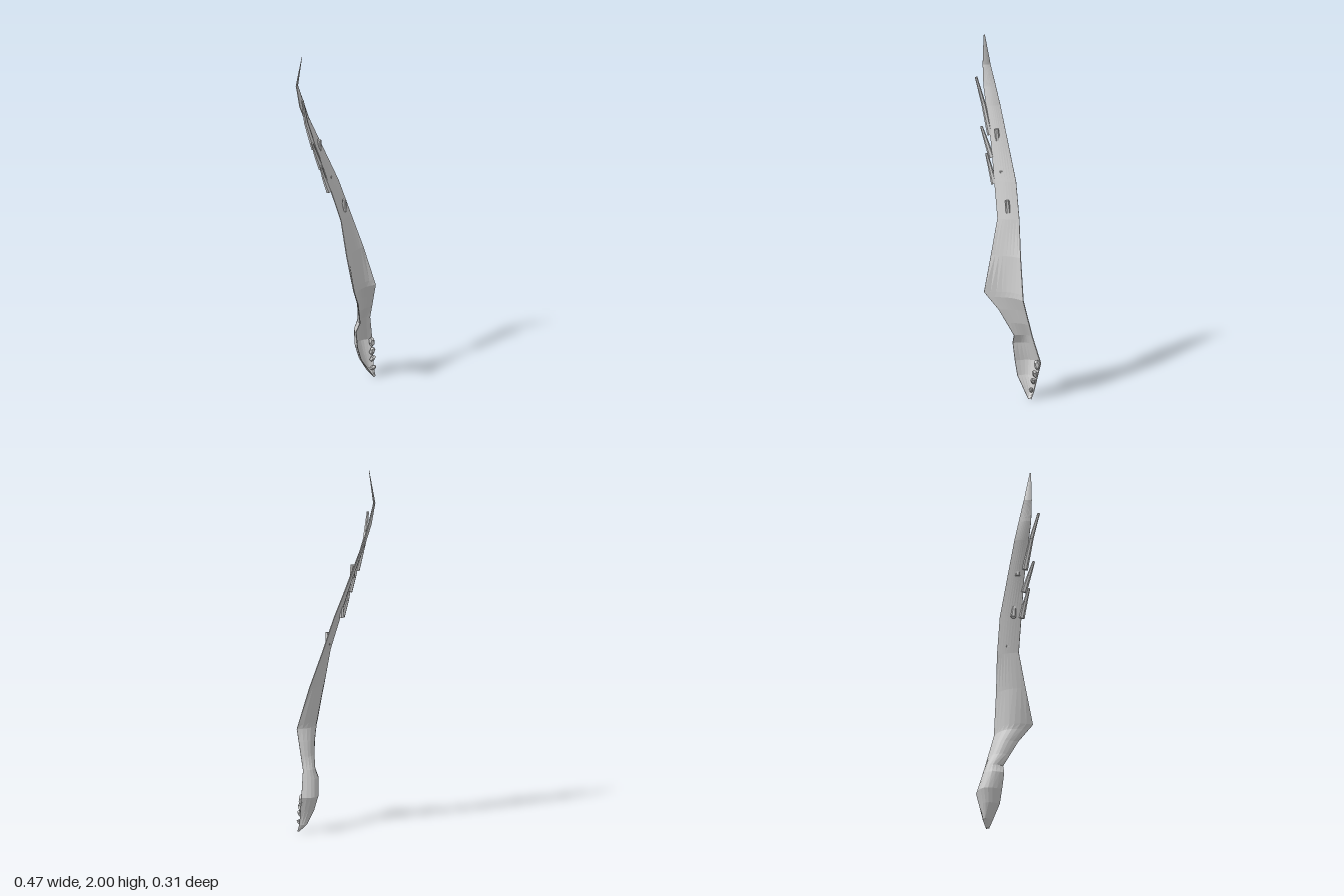
import * as THREE from 'three';

const material = new THREE.MeshStandardMaterial({ color: 0xcccccc, flatShading: true, side: THREE.DoubleSide });

// Blade edges as [y, x, z], and how far the middle bows backwards as [y, depth]
const leftEdge = [
  [0, 0.18, 0.1], [0.12, 0.1, 0.074], [0.2, 0.08, 0.064], [0.3, 0.066, 0.064], [0.35, 0.082, 0.08],
  [0.5, 0.008, 0.122], [0.6, -0.066, 0.155], [0.8, -0.055, 0.092], [1, -0.04, 0.04],
  [1.4, -0.124, -0.05], [1.7, -0.206, -0.12], [1.82, -0.218, -0.134], [2, -0.2, -0.11],
];
const rightEdge = [
  [0, 0.198, 0.098], [0.04, 0.205, 0.08], [0.2, 0.232, 0.048], [0.35, 0.19, 0.066],
  [0.57, 0.163, 0.126], [0.8, 0.12, 0.072], [1, 0.082, 0.012], [1.2, 0.037, -0.038],
  [1.6, -0.108, -0.134], [1.82, -0.18, -0.157], [2, -0.194, -0.114],
];
const bow = [[0, 0.005], [0.04, 0.03], [0.2, 0.052], [0.42, 0.031], [0.6, 0.045], [0.8, 0.016], [1, 0], [2, 0]];

// Values at height y, in a straight line between the nearest keys
function sample(keys, y) {
  const i = Math.max(1, keys.findIndex((k) => k[0] >= y));
  const a = keys[i - 1], b = keys[i], t = (y - a[0]) / (b[0] - a[0]);
  return a.slice(1).map((v, c) => THREE.MathUtils.lerp(v, b[c + 1], t));
}

// Closed loop at height y: front from left to right, then back again
function ring(y) {
  const n = 8, front = [], back = [];
  const l = new THREE.Vector2(...sample(leftEdge, y));
  const r = new THREE.Vector2(...sample(rightEdge, y));
  const control = l.clone().add(r).multiplyScalar(0.5);
  control.y -= 2 * sample(bow, y)[0];
  const curve = new THREE.QuadraticBezierCurve(l, control, r);
  const thick = 0.018 * Math.min(1, 0.5 + 8 * y, 0.15 + 3 * (2 - y));
  for (let i = 0; i <= n; i++) {
    const t = i / n, p = curve.getPoint(t), d = curve.getTangent(t);
    const h = thick / 2 * (0.25 + 0.75 * Math.sin(Math.PI * t));
    front.push([p.x - d.y * h, y, p.y + d.x * h]);
    back.unshift([p.x + d.y * h, y, p.y - d.x * h]);
  }
  return [...front, ...back];
}

function loft(rings) {
  const n = rings[0].length, index = [];
  for (let i = 0; i < rings.length - 1; i++) {
    for (let j = 0; j < n; j++) {
      const a = i * n + j, b = i * n + (j + 1) % n;
      index.push(a, b, b + n, a, b + n, a + n);
    }
  }
  // End caps
  const top = (rings.length - 1) * n;
  for (let j = 1; j < n - 1; j++) index.push(0, j + 1, j, top, top + j, top + j + 1);
  const g = new THREE.BufferGeometry();
  g.setAttribute('position', new THREE.Float32BufferAttribute(rings.flat(2), 3));
  g.setIndex(index);
  g.computeVertexNormals();
  return g;
}

// Tapered six-sided twig between two points
function twig(name, from, to, r0, r1) {
  const a = new THREE.Vector3(...from), b = new THREE.Vector3(...to);
  const dir = b.clone().sub(a);
  const mesh = new THREE.Mesh(new THREE.CylinderGeometry(r1, r0, dir.length(), 6), material);
  mesh.name = name;
  mesh.position.copy(a).add(b).multiplyScalar(0.5);
  mesh.quaternion.setFromUnitVectors(new THREE.Vector3(0, 1, 0), dir.normalize());
  return mesh;
}

export function createModel() {
  const group = new THREE.Group();
  group.name = 'splinteredBranch';

  // One ring at every key height
  const heights = [...new Set([leftEdge, rightEdge, bow].flat().map((k) => k[0]))].sort((a, b) => a - b);
  const blade = new THREE.Mesh(loft(heights.map(ring)), material);
  blade.name = 'blade';
  group.add(blade);

  // Prongs along the left edge: root, bend, tip
  [
    [[-0.14, 1.44, -0.07], [-0.19, 1.61, -0.088], [-0.232, 1.76, -0.08]],
    [[-0.115, 1.32, -0.038], [-0.152, 1.41, -0.045], [-0.184, 1.49, -0.049]],
    [[-0.085, 1.18, -0.008], [-0.115, 1.27, -0.02], [-0.14, 1.345, -0.024]],
  ].forEach(([root, bend, tip]) => {
    group.add(twig('prong', root, bend, 0.016, 0.012), twig('prongTip', bend, tip, 0.012, 0.007));
  });

  // Snapped stubs on the front face
  [[-0.098, 1.48, -0.066], [-0.05, 1.255, -0.028], [0.012, 1.105, 0.024]].forEach(([x, y, z]) => {
    group.add(twig('stub', [x + 0.004, y - 0.07, z - 0.006], [x, y, z], 0.015, 0.011));
  });

  // Broken lumps down the right rim of the scoop
  [0.19, 0.14, 0.1, 0.05].forEach((y, i) => {
    const [x, z] = sample(rightEdge, y);
    const lump = new THREE.Mesh(new THREE.DodecahedronGeometry(0.021 - 0.002 * i), material);
    lump.name = 'rimLump';
    lump.position.set(x - 0.016, y, z + 0.008);
    lump.scale.set(0.8, 1.5, 0.9);
    lump.rotation.set(0.3 * i, i, 0.2);
    group.add(lump);
  });

  return group;
}
